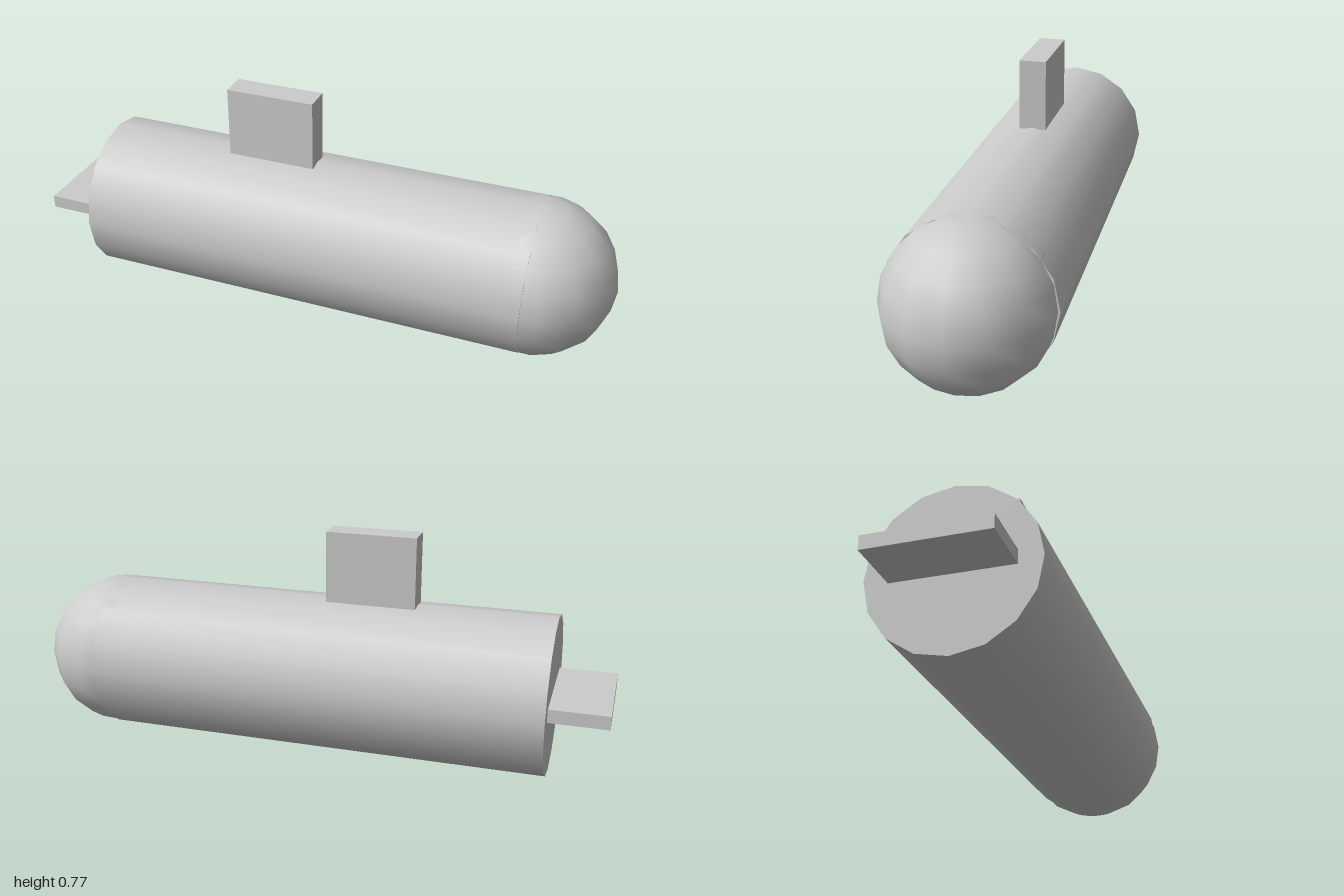
import * as THREE from 'three';

const R = 0.267; // hull radius, also the height of the hull axis
const STERN = -0.807, BOW = 0.733; // ends of the straight hull

export function createModel() {
  const model = new THREE.Group();
  model.name = 'submarine';
  const material = new THREE.MeshStandardMaterial({ color: 0xcccccc });

  const add = (name, geometry, x, y) => {
    const mesh = new THREE.Mesh(geometry, material);
    mesh.name = name;
    mesh.position.set(x, y, 0);
    model.add(mesh);
  };

  // 16-sided hull lying along x, with flat ends
  const hull = new THREE.CylinderGeometry(R, R, BOW - STERN, 16).rotateZ(Math.PI / 2);
  add('hull', hull, (STERN + BOW) / 2, R);

  // rounded bow, poles up and down
  add('nose', new THREE.SphereGeometry(R, 14, 10), BOW, R);

  // conning tower standing on the hull
  add('tower', new THREE.BoxGeometry(0.305, 0.241, 0.091), -0.193, 0.649);

  // horizontal tail plane behind the stern
  add('tailPlane', new THREE.BoxGeometry(0.195, 0.045, 0.382), -0.9025, R + 0.004);

  return model;
}
